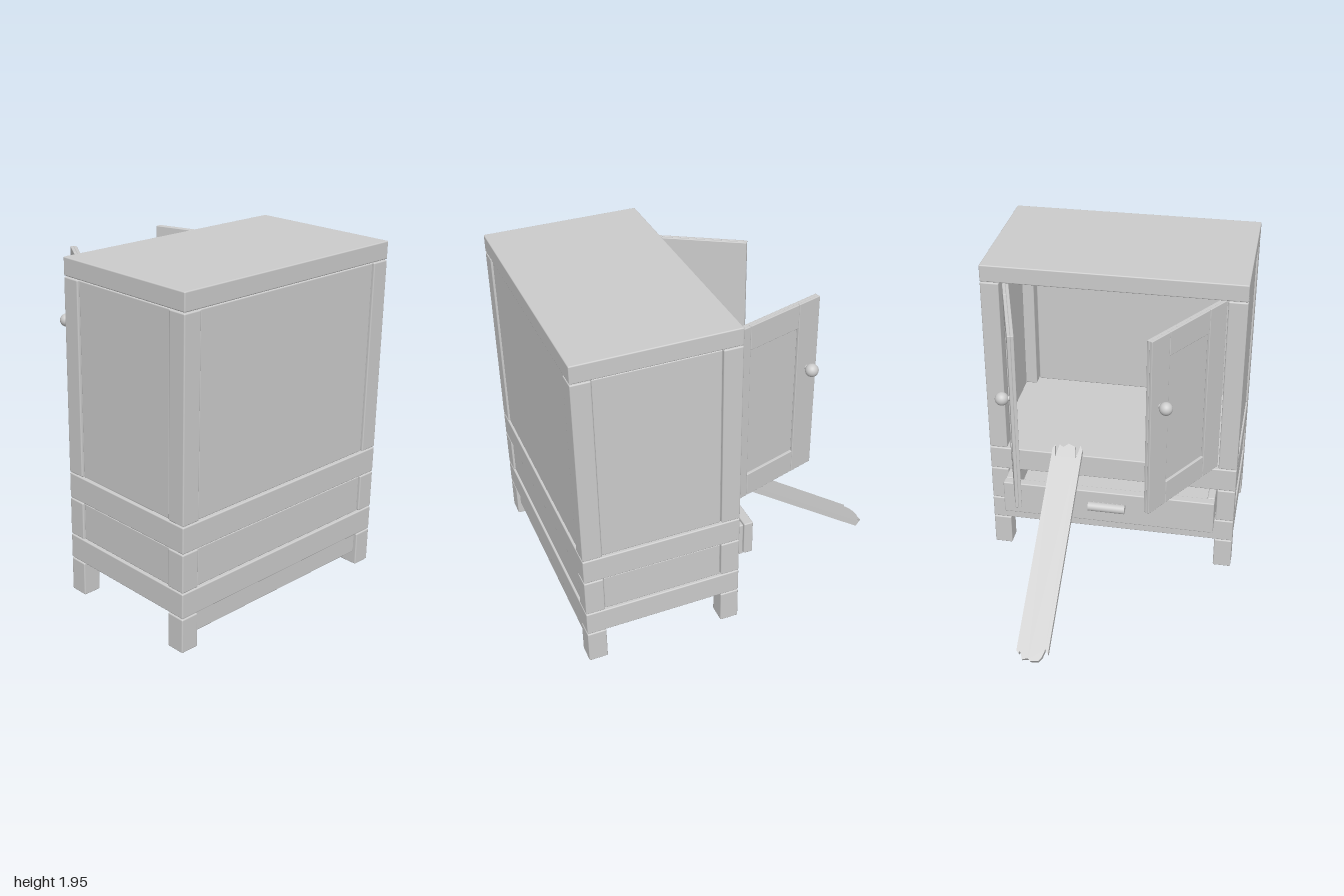
import * as THREE from 'three';
import { RoundedBoxGeometry } from 'three/addons/geometries/RoundedBoxGeometry.js';

const material = new THREE.MeshStandardMaterial({ color: 0xcccccc });

function add(parent, name, geometry, x = 0, y = 0, z = 0) {
  const mesh = new THREE.Mesh(geometry, material);
  mesh.name = name;
  mesh.position.set(x, y, z);
  parent.add(mesh);
  return mesh;
}

// Softly bevelled board given by its extents
function board(parent, name, [x0, x1], [y0, y1], [z0, z1], bevel = 0.007) {
  const geometry = new RoundedBoxGeometry(x1 - x0, y1 - y0, z1 - z0, 2, bevel);
  return add(parent, name, geometry, (x0 + x1) / 2, (y0 + y1) / 2, (z0 + z1) / 2);
}

// Door: hinge edge at local x = 0, frame and knob on the side given by s
function makeDoor(name, hinge, tip, s) {
  const door = new THREE.Group();
  door.name = name;
  const w = 0.65, stile = 0.15, y0 = 0.735, y1 = 1.84;
  const outer = s > 0 ? [0, 0.019] : [-0.019, 0];
  const inner = s > 0 ? [-0.018, 0.001] : [-0.001, 0.018];
  board(door, 'doorPanel', [0, w], [y0, y1], inner, 0.004);
  for (const x of [0, w - stile]) board(door, 'doorStile', [x, x + stile], [y0, y1], outer, 0.004);
  for (const y of [y0, y1 - 0.145]) {
    board(door, 'doorRail', [stile + 0.002, w - stile - 0.002], [y, y + 0.145], outer, 0.004);
  }
  add(door, 'doorKnob', new THREE.SphereGeometry(0.038, 24, 16), w - 0.075, 1.42, s * 0.062);
  const stem = add(door, 'doorKnobStem', new THREE.CylinderGeometry(0.014, 0.014, 0.03, 16), w - 0.075, 1.42, s * 0.025);
  stem.rotation.x = Math.PI / 2;
  door.position.set(hinge[0], 0, hinge[1]);
  door.rotation.y = Math.atan2(-(tip[1] - hinge[1]), tip[0] - hinge[0]);
  return door;
}

// Splintered plank leaning from the cabinet floor to the ground
function makePlank() {
  const outline = [
    [0.05, -0.365], [0.035, -0.35], [0.05, -0.343], [0.005, -0.325], [0.012, -0.29], [0, -0.275],
    [0.004, -0.23], [0.03, -0.212], [0.075, -0.2], [0.05, -0.18],
    [1.31, -0.18], [1.34, -0.195], [1.255, -0.212], [1.33, -0.228], [1.345, -0.27],
    [1.32, -0.3], [1.335, -0.325], [1.255, -0.34], [1.33, -0.352], [1.31, -0.365],
  ].map(([u, v]) => new THREE.Vector2(u, v));
  const geometry = new THREE.ExtrudeGeometry(new THREE.Shape(outline), { depth: 0.034, bevelEnabled: false });
  geometry.rotateX(Math.PI / 2);
  geometry.rotateZ(0.603);
  return geometry;
}

export function createModel() {
  const model = new THREE.Group();
  model.name = 'cabinet';
  const X0 = 0.08, X1 = 0.995, Z = 0.763, post = 0.11;

  // Full-width slabs: base, cabinet floor and top
  for (const [name, y0, y1] of [['base', 0.205, 0.35], ['cabinetFloor', 0.58, 0.73], ['top', 1.85, 1.952]]) {
    board(model, name, [X0, X1], [y0, y1], [-Z, Z]);
  }

  // Corner posts and legs on all four corners
  const posts = [['leg', 0, 0.2], ['drawerPost', 0.355, 0.575], ['cornerPost', 0.735, 1.845]];
  for (const [name, y0, y1] of posts) {
    for (const x of [X0, X1 - post]) {
      for (const z of [-Z, Z - post]) board(model, name, [x, x + post], [y0, y1], [z, z + post]);
    }
  }

  // Side and back panels of the drawer bay and the cupboard
  for (const [y0, y1] of [[0.35, 0.58], [0.73, 1.85]]) {
    for (const s of [-1, 1]) {
      const z = s * (Z - 0.025);
      board(model, 'sidePanel', [X0 + post + 0.003, X1 - post - 0.003], [y0 + 0.005, y1 - 0.005], [z - 0.015, z + 0.015]);
    }
    board(model, 'backPanel', [X1 - 0.04, X1 - 0.01], [y0 + 0.005, y1 - 0.005], [-0.65, 0.65]);
  }
  board(model, 'apron', [X1 - 0.06, X1 - 0.02], [0.08, 0.207], [-0.655, 0.655]);

  // Half-open drawer
  const drawer = new THREE.Group();
  drawer.name = 'drawer';
  model.add(drawer);
  board(drawer, 'drawerFront', [-0.06, -0.005], [0.355, 0.572], [-0.65, 0.65]);
  for (const z of [-0.648, 0.603]) board(drawer, 'drawerSide', [0, 0.8], [0.355, 0.57], [z, z + 0.045]);
  board(drawer, 'drawerBack', [0.755, 0.8], [0.355, 0.57], [-0.61, 0.61]);
  board(drawer, 'drawerBottom', [-0.01, 0.79], [0.355, 0.385], [-0.61, 0.61]);
  const handle = add(drawer, 'drawerHandle', new THREE.CylinderGeometry(0.028, 0.028, 0.225, 24), -0.092, 0.485, 0);
  handle.rotation.x = Math.PI / 2;
  board(drawer, 'handleMount', [-0.08, -0.055], [0.473, 0.497], [-0.1, 0.1], 0.003);

  // Open doors
  model.add(makeDoor('rearDoor', [0.11, -0.62], [-0.51, -0.432], 1));
  model.add(makeDoor('frontDoor', [0.12, 0.63], [-0.43, 0.295], -1));

  add(model, 'plank', makePlank(), -1, 0.028, 0);
  return model;
}
